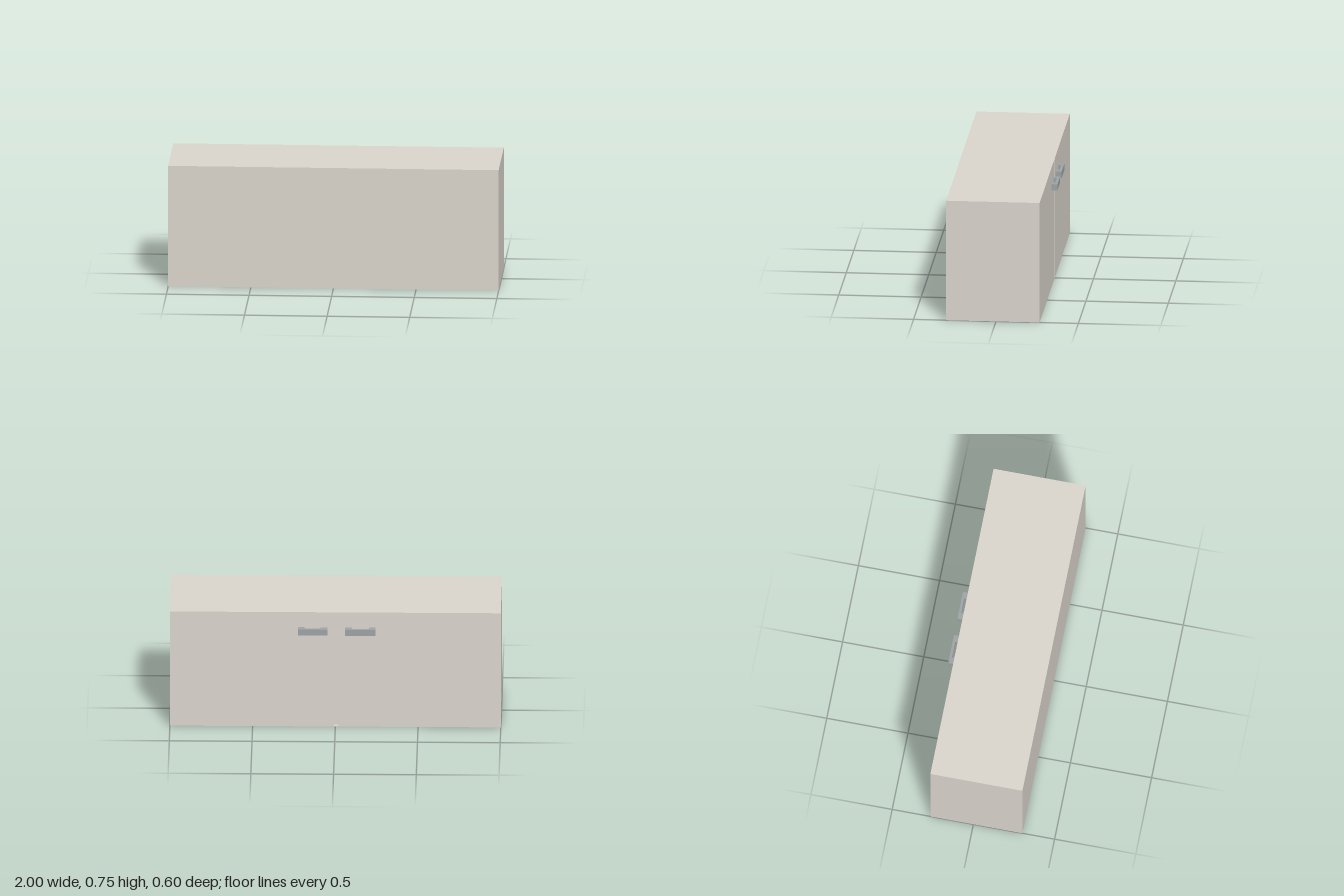
import * as THREE from 'three';

const wood = new THREE.MeshStandardMaterial({ color: 0xdbd6cd });
const metal = new THREE.MeshStandardMaterial({ color: 0x9ea4a7 });

const HEIGHT = 0.75, FRONT = 0.302, BACK = -0.265;
const PANEL = 0.027, DOOR = 0.022, SLAB = 0.003;

// Box given by its min and max corners
function box(name, [x0, y0, z0], [x1, y1, z1]) {
  const geometry = new THREE.BoxGeometry(x1 - x0, y1 - y0, z1 - z0);
  geometry.translate((x0 + x1) / 2, (y0 + y1) / 2, (z0 + z1) / 2);
  const mesh = new THREE.Mesh(geometry, wood);
  mesh.name = name;
  return mesh;
}

// Square-edged bracket: a bar on two feet, lying flat against a door
function handle(name, x0, x1) {
  const foot = 0.041, out = 0.037, inner = 0.021, tall = 0.039;
  const shape = new THREE.Shape([
    [x0, 0], [x0 + foot, 0], [x0 + foot, inner], [x1 - foot, inner],
    [x1 - foot, 0], [x1, 0], [x1, out], [x0, out],
  ].map(([x, y]) => new THREE.Vector2(x, y)));
  const geometry = new THREE.ExtrudeGeometry(shape, { depth: tall, bevelEnabled: false });
  geometry.rotateX(-Math.PI / 2); // profile now reaches towards -z, height along y
  geometry.translate(0, 0.612, BACK);
  const mesh = new THREE.Mesh(geometry, metal);
  mesh.name = name;
  return mesh;
}

export function createModel() {
  const group = new THREE.Group();
  group.name = 'cabinet';

  // Carcass with thin top and bottom sheets reaching over the doors
  group.add(
    box('carcass', [-1, SLAB, BACK + DOOR], [1, HEIGHT - SLAB, FRONT - PANEL]),
    box('topSheet', [-1, HEIGHT - SLAB, BACK], [1, HEIGHT, FRONT - PANEL]),
    box('bottomSheet', [-1, 0, BACK], [1, SLAB, FRONT - PANEL]),
    box('frontPanel', [-1, 0, FRONT - PANEL], [1, HEIGHT, FRONT]),
  );

  // Two doors with a narrow gap, and their handles
  group.add(
    box('rightDoor', [-1, SLAB, BACK], [-0.016, HEIGHT - SLAB, BACK + DOOR]),
    box('leftDoor', [0.008, SLAB, BACK], [1, HEIGHT - SLAB, BACK + DOOR]),
    handle('rightHandle', -0.244, -0.06),
    handle('leftHandle', 0.047, 0.224),
  );
  return group;
}
